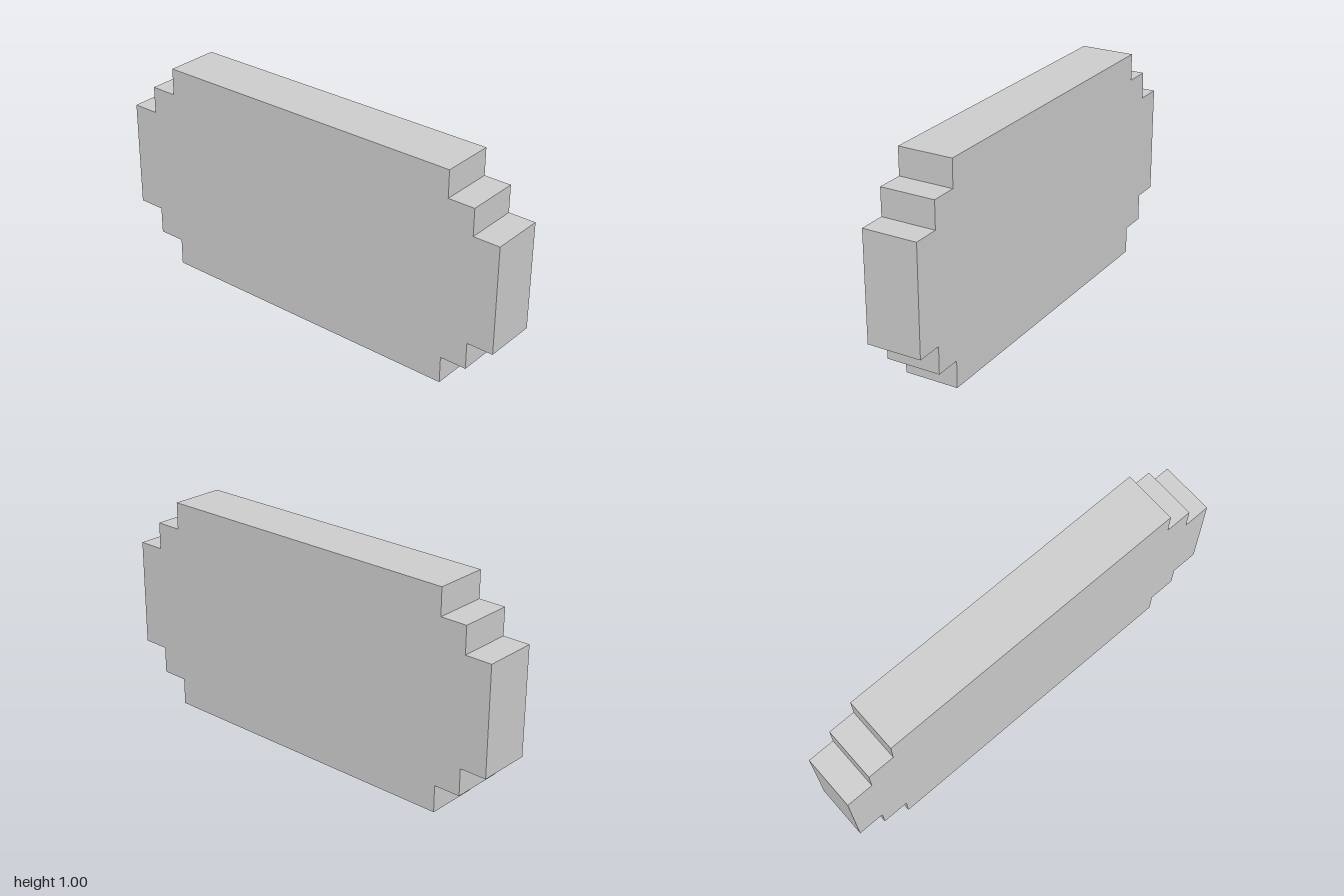
import * as THREE from 'three';

export function createModel() {
  const group = new THREE.Group();
  group.name = 'steppedPlate';
  const depth = 0.25;

  // Stepped corner, from the right side up to the top edge, relative to the centre
  const corner = [[1, 0.25], [0.875, 0.25], [0.875, 0.375], [0.75, 0.375], [0.75, 0.5]];
  const mirrored = (sx, sy) => {
    const points = corner.map(([x, y]) => new THREE.Vector2(x * sx, y * sy + 0.5));
    return sx * sy < 0 ? points.reverse() : points;
  };

  // Counter-clockwise outline from the four mirrored corners
  const outline = new THREE.Shape([
    ...mirrored(1, 1), ...mirrored(-1, 1), ...mirrored(-1, -1), ...mirrored(1, -1),
  ]);

  // Solid plate, centred in depth
  const geometry = new THREE.ExtrudeGeometry(outline, { depth, bevelEnabled: false });
  geometry.translate(0, 0, -depth / 2);
  const plate = new THREE.Mesh(
    geometry,
    new THREE.MeshStandardMaterial({ color: 0xcccccc, flatShading: true }),
  );
  plate.name = 'plate';
  group.add(plate);
  return group;
}
